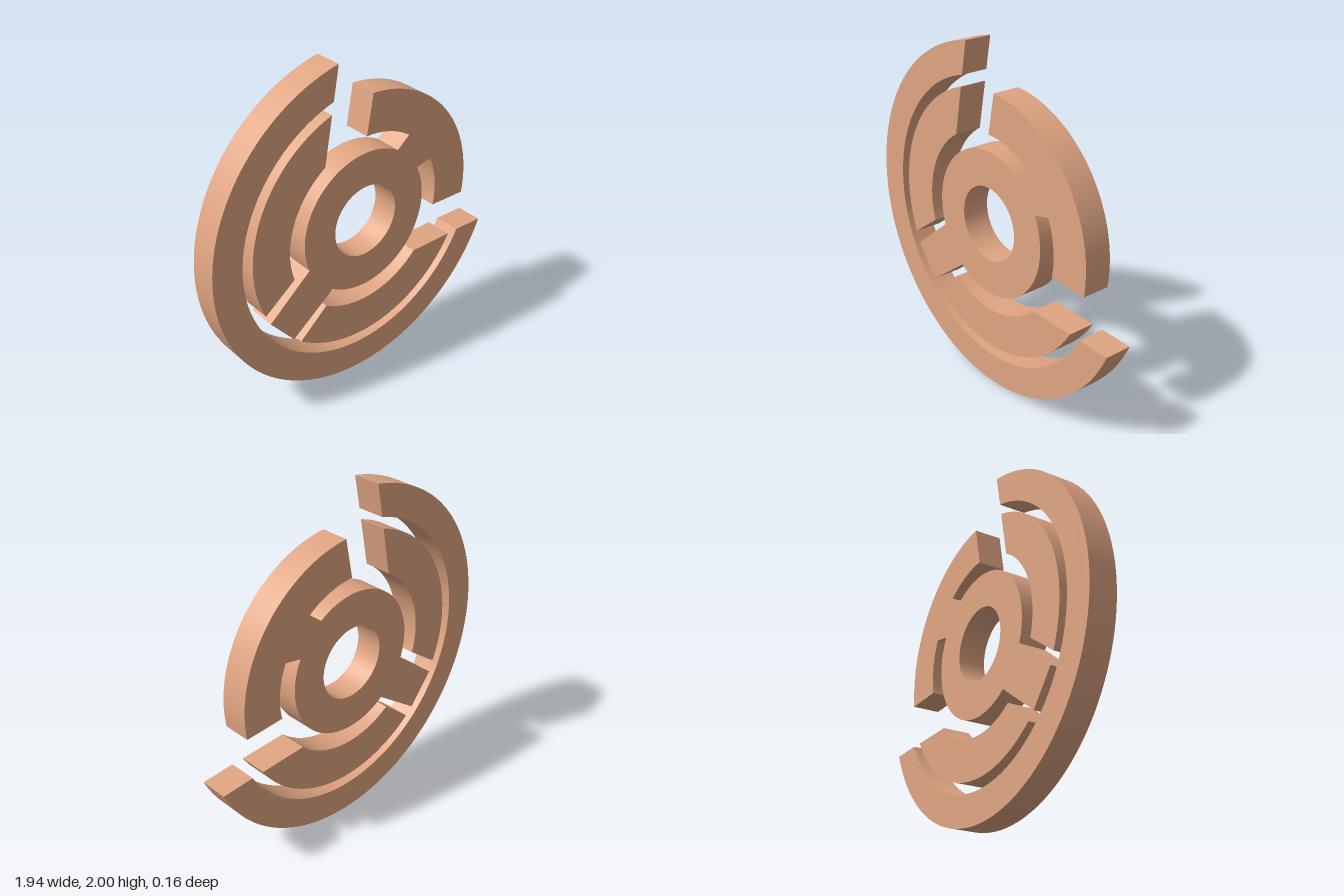
import * as THREE from 'three';
import { toCreasedNormals } from 'three/addons/utils/BufferGeometryUtils.js';

const DEPTH = 0.164;
const RING = [0.034, 1.01]; // centre of the ring pieces
const HUB = [0.031, 1.014]; // centre of the hub
const R = { outer: 1.009, outerIn: 0.828, mid: 0.765, midIn: 0.528, hub: 0.427, hole: 0.218 };

// Arc about a centre, between the directions of two points
function arc(path, centre, radius, from, to, clockwise = false) {
  const angle = (p) => Math.atan2(p[1] - centre[1], p[0] - centre[0]);
  path.absarc(centre[0], centre[1], radius, angle(from), angle(to), clockwise);
}

// Ring piece: outer start/end corners counter-clockwise, then inner end/start
function ringPiece(rOut, rIn, outStart, outEnd, inEnd, inStart) {
  const s = new THREE.Shape();
  arc(s, RING, rOut, outStart, outEnd);
  arc(s, RING, rIn, inEnd, inStart, true);
  s.closePath();
  return s;
}

// Hub, spoke and upper quadrant form one connected plate
function hubPlate() {
  const s = new THREE.Shape();
  arc(s, HUB, R.hub, [-0.209, 0.664], [0.431, 1.22]);
  arc(s, RING, R.midIn, [0.516, 1.233], [0.553, 0.905], true);
  arc(s, RING, R.mid, [0.794, 0.897], [0.077, 1.774]);
  arc(s, RING, R.midIn, [0.034, 1.544], [0.341, 1.44], true);
  arc(s, HUB, R.hub, [0.259, 1.373], [-0.368, 0.862]);
  s.lineTo(-0.64, 0.637);
  s.lineTo(-0.489, 0.452);
  s.closePath();
  const hole = new THREE.Path();
  hole.absarc(HUB[0], HUB[1], R.hole, 0, Math.PI * 2, true);
  s.holes.push(hole);
  return s;
}

export function createModel() {
  const group = new THREE.Group();
  group.name = 'slottedDisc';
  const material = new THREE.MeshStandardMaterial({ color: 0xe0a582 });

  const parts = {
    hubWithSpokeAndQuadrant: hubPlate(),
    outerRing: ringPiece(R.outer, R.outerIn,
      [-0.153, 2], [0.966, 0.63], [0.775, 0.635], [-0.188, 1.81]),
    leftMiddleArc: ringPiece(R.mid, R.midIn,
      [-0.201, 1.744], [-0.667, 0.704], [-0.468, 0.853], [-0.251, 1.46]),
    lowerMiddleArc: ringPiece(R.mid, R.midIn,
      [-0.439, 0.412], [0.701, 0.635], [0.41, 0.643], [-0.254, 0.573]),
  };

  for (const [name, shape] of Object.entries(parts)) {
    const geo = new THREE.ExtrudeGeometry(shape, { depth: DEPTH, bevelEnabled: false, curveSegments: 64 });
    geo.translate(0, 0, -DEPTH / 2);
    const mesh = new THREE.Mesh(toCreasedNormals(geo, 0.5), material);
    mesh.name = name;
    group.add(mesh);
  }
  return group;
}
